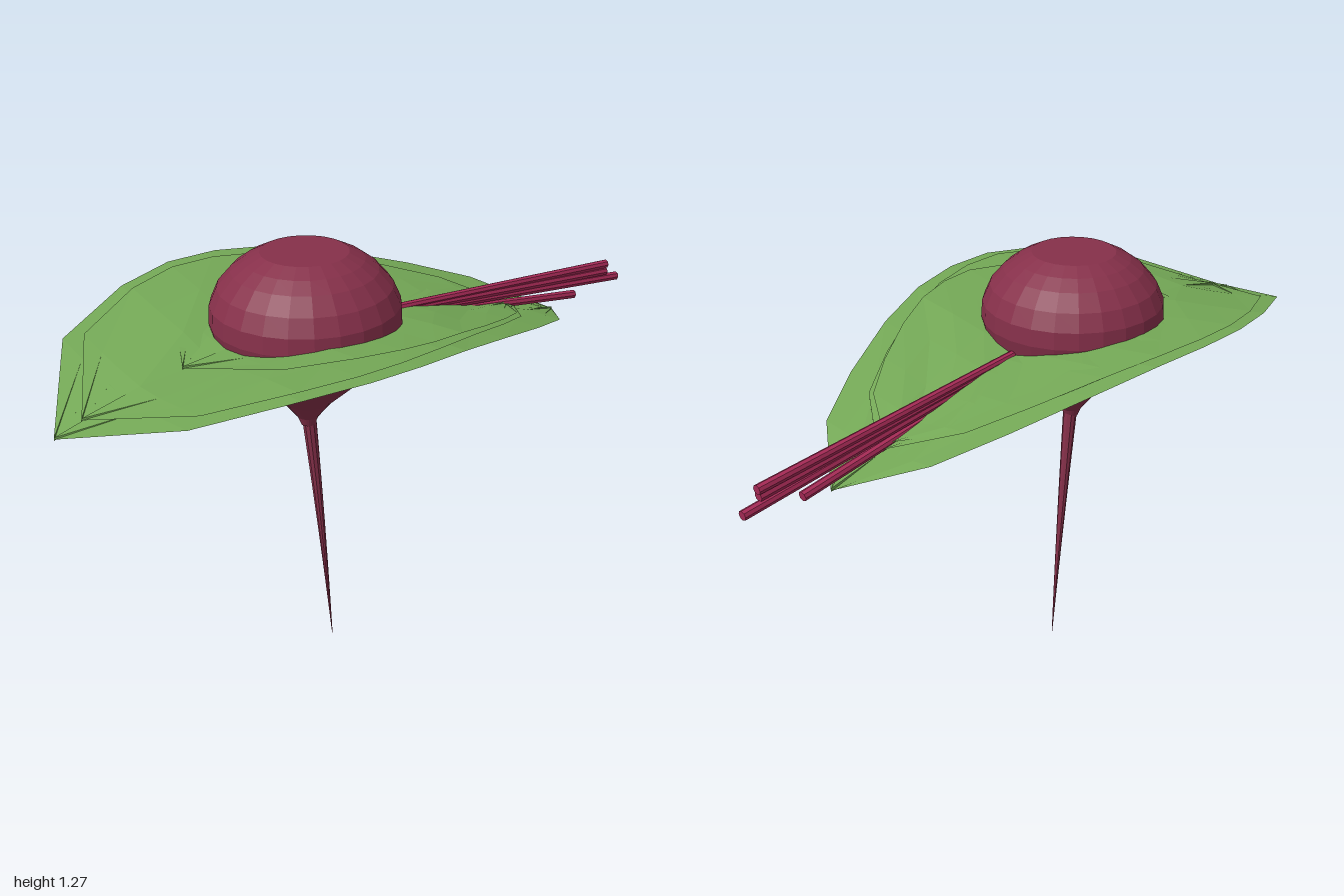
import * as THREE from 'three';

const mat = (name, color, extra = {}) =>
  Object.assign(new THREE.MeshStandardMaterial({ color, flatShading: true, ...extra }), { name });

// Piecewise-linear lookup in [x, y] pairs
function lookup(table, x) {
  if (x <= table[0][0]) return table[0][1];
  for (let i = 1; i < table.length; i++) {
    const [x0, y0] = table[i - 1], [x1, y1] = table[i];
    if (x <= x1) return y0 + (y1 - y0) * (x - x0) / (x1 - x0);
  }
  return table[table.length - 1][1];
}

// Leaf outline (half width) and arched midrib height along x
const outline = [[-1, 0], [-0.8, 0.325], [-0.55, 0.445], [-0.37, 0.49], [-0.21, 0.49],
  [-0.04, 0.46], [0.15, 0.4], [0.37, 0.305], [0.55, 0.205], [0.715, 0]];
const midrib = [[-1, 0.948], [-0.8, 1.002], [-0.55, 1.036], [-0.37, 1.046], [-0.2, 1.045],
  [0, 1.033], [0.2, 0.998], [0.4, 0.954], [0.55, 0.918], [0.715, 0.872]];

// Shallow V-shaped blade built from cross-sections along x
function leafGeometry({ x0, x1, width, lift, tilt }) {
  const pos = [], index = [], cols = 6;
  outline.forEach(([ox, oz], i) => {
    const x = x0 + (ox + 1) / 1.715 * (x1 - x0);
    for (let j = 0; j <= cols; j++) {
      const s = j / cols * 2 - 1, z = s * oz * width;
      const ripple = 0.006 * Math.sin(i * 2.3 + j * 1.9) * (1 - s * s);
      pos.push(x, lookup(midrib, x) + lift + 0.15 * Math.abs(z) - tilt * z + ripple, z);
    }
  });
  for (let i = 0; i < outline.length - 1; i++) {
    for (let j = 0; j < cols; j++) {
      const a = i * (cols + 1) + j, b = a + cols + 1;
      index.push(a, a + 1, b, b, a + 1, b + 1);
    }
  }
  const g = new THREE.BufferGeometry();
  g.setAttribute('position', new THREE.Float32BufferAttribute(pos, 3));
  g.setIndex(index);
  g.computeVertexNormals();
  return g;
}

// Straight rod between two points
function rod(a, b, r0, r1) {
  const dir = b.clone().sub(a);
  const g = new THREE.CylinderGeometry(r1, r0, dir.length(), 8);
  g.applyQuaternion(new THREE.Quaternion().setFromUnitVectors(
    new THREE.Vector3(0, 1, 0), dir.normalize()));
  g.translate((a.x + b.x) / 2, (a.y + b.y) / 2, (a.z + b.z) / 2);
  return g;
}

export function createModel() {
  const group = new THREE.Group();
  const skin = mat('beet skin', 0x86304a);
  const stalk = mat('stalk crimson', 0xa62a56);
  const green = mat('leaf green', 0x74a856, { side: THREE.DoubleSide });
  const add = (name, geometry, material) => {
    const mesh = new THREE.Mesh(geometry, material);
    mesh.name = name;
    group.add(mesh);
  };

  // Bulb with flat crown
  const profile = [[0, 0.75], [0.02, 0.755], [0.03, 0.78], [0.07, 0.83], [0.125, 0.88], [0.18, 0.93],
    [0.225, 0.98], [0.255, 1.03], [0.267, 1.08], [0.264, 1.13], [0.242, 1.18],
    [0.203, 1.225], [0.165, 1.253], [0.122, 1.275], [0, 1.275]]
    .map(([r, y]) => new THREE.Vector2(r, y));
  add('bulb', new THREE.LatheGeometry(profile, 24).translate(-0.225, 0, 0), skin);

  // Tapering, gently bent taproot
  const root = new THREE.CylinderGeometry(0.021, 0.0008, 0.77, 10, 8).translate(0, 0.385, 0);
  const p = root.attributes.position;
  for (let i = 0; i < p.count; i++) {
    const t = 1 - p.getY(i) / 0.77;
    p.setX(i, p.getX(i) - 0.221 + 0.08 * t - 0.01 * t * t);
  }
  root.computeVertexNormals();
  add('taproot', root, skin);

  // Stack of leaves
  [
    { x0: -1, x1: 0.715, width: 1, lift: 0, tilt: 0.02 },
    { x0: -0.92, x1: 0.55, width: 0.92, lift: 0.008, tilt: 0.015 },
    { x0: -0.62, x1: 0.52, width: 0.82, lift: 0.012, tilt: -0.01 },
    { x0: -0.9, x1: 0.49, width: 0.88, lift: -0.022, tilt: 0.005 },
  ].forEach((leaf, i) => add('leaf' + (i + 1), leafGeometry(leaf), green));

  // Fan of stalks
  [[0.945, 0.967, 0], [0.94, 0.945, 0.003], [0.995, 0.915, 0], [0.81, 0.895, -0.003], [0.49, 0.91, 0]]
    .forEach(([x, y, z], i) => add('stalk' + (i + 1), rod(
      new THREE.Vector3(-0.1, 1.045 - i * 0.006, 0), new THREE.Vector3(x, y, z), 0.012, 0.014), stalk));

  return group;
}
